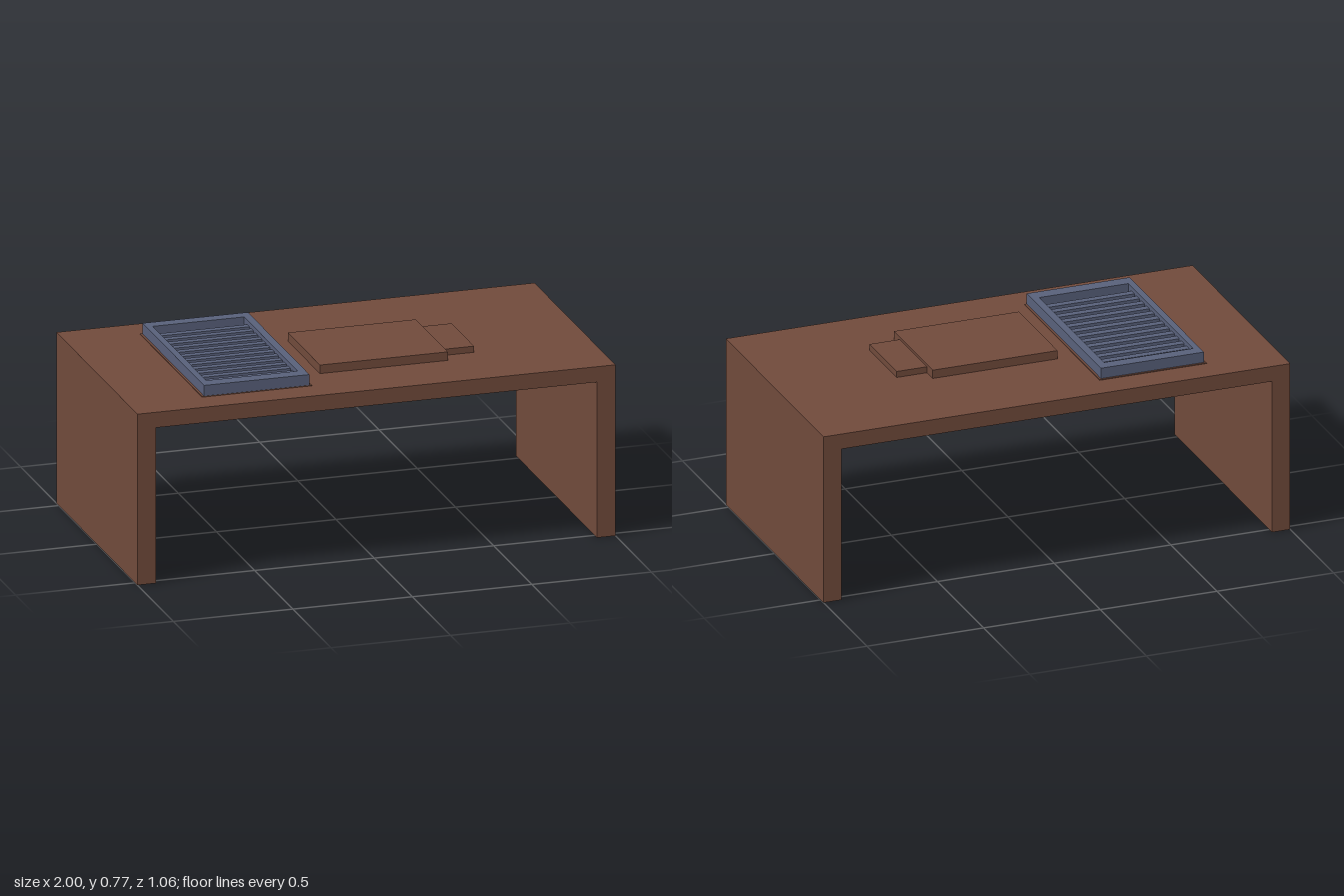
import * as THREE from 'three';

export function createModel() {
  const model = new THREE.Group();
  const material = (name, color) => {
    const m = new THREE.MeshStandardMaterial({ color });
    m.name = name;
    return m;
  };
  const wood = material('brown wood', 0x704a3b);
  const metal = material('slate blue', 0x58607a);
  const navy = material('dark navy', 0x10222f);

  // Box given by its minimum and maximum on each axis
  const box = (name, mat, [x0, x1], [y0, y1], [z0, z1]) => {
    const mesh = new THREE.Mesh(new THREE.BoxGeometry(x1 - x0, y1 - y0, z1 - z0), mat);
    mesh.position.set((x0 + x1) / 2, (y0 + y1) / 2, (z0 + z1) / 2);
    mesh.name = name;
    model.add(mesh);
    return mesh;
  };

  // Extruded outline: shape drawn in (x, y), optionally with a hole
  const rect = (T, x0, x1, y0, y1) => {
    const p = new T();
    p.moveTo(x0, y0).lineTo(x1, y0).lineTo(x1, y1).lineTo(x0, y1).closePath();
    return p;
  };

  // Desk: top and two side panels in one continuous arch
  const top = 0.72;
  const arch = new THREE.Shape();
  [[-1, 0], [-0.922, 0], [-0.922, 0.655], [0.922, 0.655], [0.922, 0], [1, 0], [1, top], [-1, top]]
    .forEach(([x, y], i) => (i ? arch.lineTo(x, y) : arch.moveTo(x, y)));
  const desk = new THREE.Mesh(
    new THREE.ExtrudeGeometry(arch, { depth: 1.06, bevelEnabled: false }), wood);
  desk.position.z = -0.53;
  desk.name = 'desk';
  model.add(desk);

  // Raised pad with a lower tab on its left end
  box('pad', wood, [-0.155, 0.38], [top, 0.756], [-0.145, 0.275]);
  box('padTab', wood, [0.38, 0.51], [top, 0.746], [-0.083, 0.212]);

  // Thin wooden plate below the vent
  box('ventPlate', wood, [-0.691, -0.232], [top, 0.723], [-0.407, 0.409]);

  // Vent frame, lying flat
  const frameShape = rect(THREE.Shape, -0.682, -0.241, -0.407, 0.399);
  frameShape.holes.push(rect(THREE.Path, -0.655, -0.273, -0.351, 0.349));
  const frame = new THREE.Mesh(
    new THREE.ExtrudeGeometry(frameShape, { depth: 0.768 - top, bevelEnabled: false }), metal);
  frame.rotation.x = -Math.PI / 2;
  frame.position.y = top;
  frame.name = 'ventFrame';
  model.add(frame);

  // Dark vent floor and the slats above it
  box('ventFloor', navy, [-0.655, -0.273], [top, 0.727], [-0.349, 0.351]);
  const slats = 12;
  for (let i = 0; i < slats; i++) {
    const z = -0.292 + i * (0.592 / (slats - 1));
    box('ventSlat', metal, [-0.655, -0.273], [0.727, 0.75], [z - 0.015, z + 0.015]);
  }
  return model;
}
